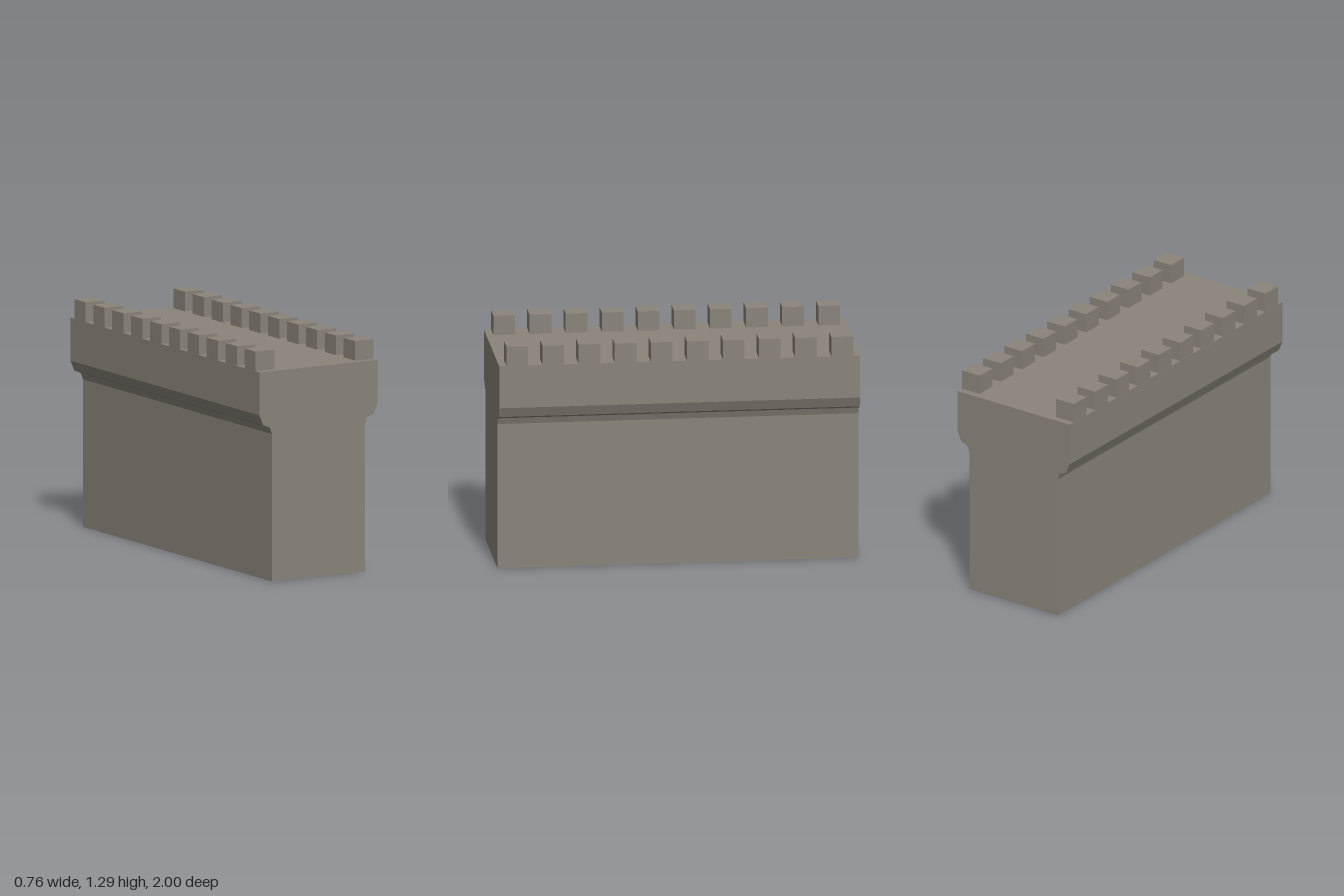
import * as THREE from 'three';

export function createModel() {
  const model = new THREE.Group();
  model.name = 'castleWall';
  const stone = new THREE.MeshStandardMaterial({ color: 0x8a847a });
  stone.name = 'stone';

  // Wall: one cross-section with corbelled shoulders, mirrored and extruded along z
  const half = [[0.3, 0], [0.3, 0.825], [0.313, 0.861], [0.357, 0.88], [0.381, 0.937], [0.381, 1.177]];
  const outline = [...half, ...half.map(([x, y]) => [-x, y]).reverse()];
  const section = new THREE.Shape(outline.map(([x, y]) => new THREE.Vector2(x, y)));
  const wallGeometry = new THREE.ExtrudeGeometry(section, { depth: 2, bevelEnabled: false });
  wallGeometry.translate(0, 0, -1);
  const wall = new THREE.Mesh(wallGeometry, stone);
  wall.name = 'wall';
  model.add(wall);

  // Battlements: a row of ten merlons along each long edge
  const merlonGeometry = new THREE.BoxGeometry(0.12, 0.11, 0.12);
  for (const side of [-1, 1]) {
    const row = new THREE.Group();
    row.name = side > 0 ? 'leftBattlement' : 'rightBattlement';
    for (let i = 0; i < 10; i++) {
      const merlon = new THREE.Mesh(merlonGeometry, stone);
      merlon.name = 'merlon';
      merlon.position.set(side * 0.32, 1.232, -0.9 + i * 0.2);
      row.add(merlon);
    }
    model.add(row);
  }
  return model;
}
